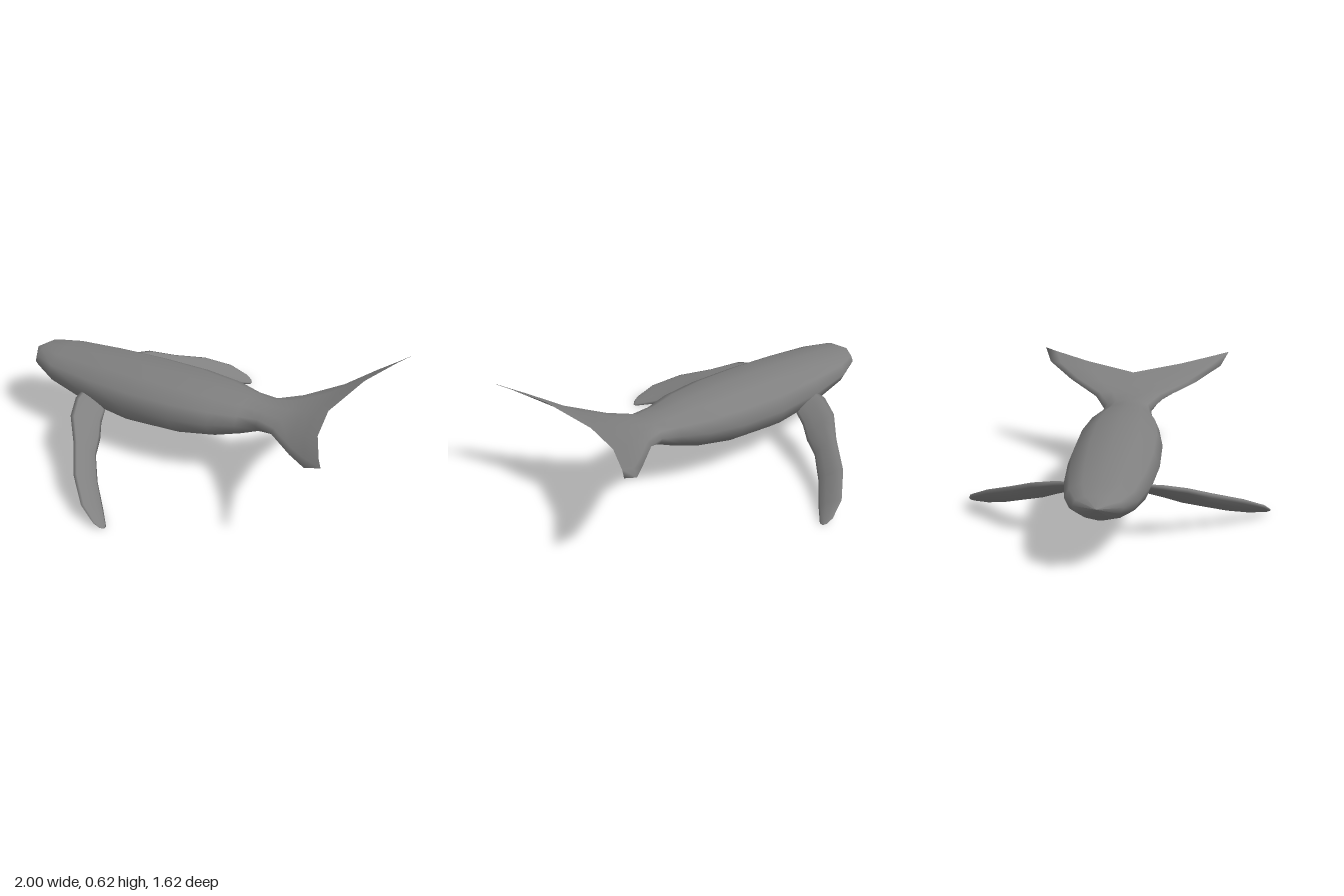
import * as THREE from 'three';

const lerp = THREE.MathUtils.lerp;

// Skin a list of equal-length closed rings of [x, y, z] points
function loft(rings, flip = false) {
  const n = rings[0].length;
  const index = [];
  for (let i = 0; i < rings.length - 1; i++) {
    for (let j = 0; j < n; j++) {
      const a = i * n + j, b = i * n + (j + 1) % n, c = a + n, d = b + n;
      if (flip) index.push(a, b, c, b, d, c);
      else index.push(a, c, b, b, c, d);
    }
  }
  const geo = new THREE.BufferGeometry();
  geo.setAttribute('position', new THREE.Float32BufferAttribute(rings.flat(2), 3));
  geo.setIndex(index);
  geo.computeVertexNormals();
  return geo;
}

function ring(count, fn) {
  return Array.from({ length: count }, (_, j) => {
    const a = (j / count) * Math.PI * 2;
    return fn(Math.cos(a), Math.sin(a));
  });
}

// Body and flukes: centre x, top y, bottom y, half width, then edge x and edge y
const bodySections = [
  [-1.00, 0.365, 0.365, 0.00],
  [-0.93, 0.403, 0.285, 0.118],
  [-0.80, 0.42, 0.23, 0.175],
  [-0.56, 0.445, 0.165, 0.213],
  [-0.28, 0.465, 0.137, 0.235],
  [0.00, 0.475, 0.165, 0.23],
  [0.21, 0.472, 0.215, 0.198],
  [0.35, 0.46, 0.267, 0.15],
  [0.46, 0.452, 0.32, 0.132, 0.46, 0.40],
  [0.58, 0.465, 0.39, 0.2, 0.58, 0.44],
  [0.66, 0.485, 0.44, 0.37, 0.76, 0.487],
  [0.73, 0.508, 0.48, 0.515, 0.90, 0.557],
  [0.79, 0.53, 0.53, 0.56, 1.00, 0.62],
];

function buildBody() {
  return loft(bodySections.map(([x, top, bottom, half, edgeX = x, edgeY]) => {
    const mid = (top + bottom) / 2;
    const sideY = edgeY ?? mid + (top - bottom) * 0.06;
    return ring(12, (c, s) => {
      const u = Math.abs(c);
      return [
        lerp(x, edgeX, u ** 1.6),
        lerp(mid, sideY, u) + s * (top - bottom) / 2,
        half * c,
      ];
    });
  }));
}

// Flipper: leading x, z, trailing x, z, half thickness, droop of the trailing edge
const flipperSections = [
  [-0.56, 0.18, -0.43, 0.16, 0.015, 0],
  [-0.55, 0.27, -0.39, 0.27, 0.02, 0.015],
  [-0.50, 0.39, -0.345, 0.35, 0.022, 0.028],
  [-0.40, 0.51, -0.305, 0.45, 0.022, 0.035],
  [-0.29, 0.67, -0.215, 0.57, 0.02, 0.035],
  [-0.17, 0.78, -0.10, 0.69, 0.014, 0.02],
  [-0.08, 0.81, -0.03, 0.77, 0.008, 0],
  [-0.045, 0.805, -0.03, 0.79, 0, 0],
];

function buildFlipper(side) {
  const rings = flipperSections.map(([lx, lz, tx, tz, thick, droop]) => ring(10, (c, s) => {
    const t = (1 - c) / 2;
    const x = lerp(lx, tx, t), z = lerp(lz, tz, t);
    // The blade slopes down toward the tail, with a slight twist
    const y = 0.323 - 0.605 * (x + 0.56) - droop * t;
    return [x + 0.52 * thick * s, y + 0.86 * thick * s, z * side];
  }));
  // Close the tip
  const tip = rings[rings.length - 1];
  const centre = [0, 1, 2].map(k => tip.reduce((sum, p) => sum + p[k], 0) / tip.length);
  rings.push(tip.map(() => centre));
  return loft(rings, side < 0);
}

export function createModel() {
  const group = new THREE.Group();
  group.name = 'whale';
  const skin = new THREE.MeshStandardMaterial({ color: 0x808080 });

  const add = (name, geometry) => {
    const mesh = new THREE.Mesh(geometry, skin);
    mesh.name = name;
    group.add(mesh);
  };

  add('bodyAndFlukes', buildBody());
  add('flipperNear', buildFlipper(1));
  add('flipperFar', buildFlipper(-1));
  return group;
}
